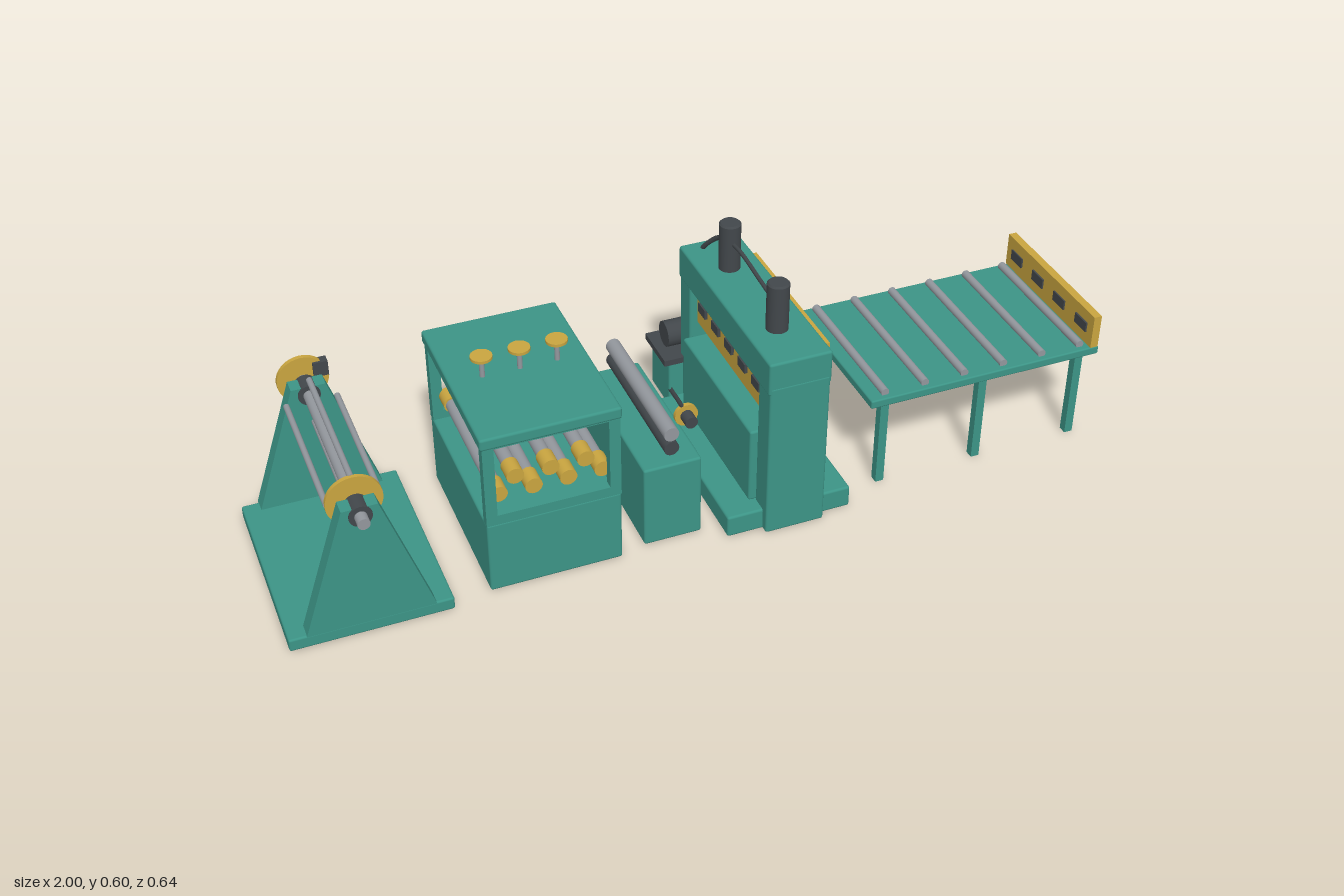
import * as THREE from 'three';
import { RoundedBoxGeometry } from 'three/addons/geometries/RoundedBoxGeometry.js';

const ZC = 0.047; // centre line of the whole production line

export function createModel() {
  const root = new THREE.Group();
  root.name = 'pressLine';
  const mat = (name, color) => {
    const m = new THREE.MeshStandardMaterial({ color });
    m.name = name;
    return m;
  };
  const green = mat('machineGreen', 0x3c9486);
  const yellow = mat('safetyYellow', 0xc9a540);
  const dark = mat('darkSteel', 0x42474b);
  const grey = mat('rollerGrey', 0x93979d);

  let group = root;
  const section = (name) => {
    group = new THREE.Group();
    group.name = name;
    root.add(group);
  };
  const add = (name, geo, m, x = 0, y = 0, z = 0) => {
    const mesh = new THREE.Mesh(geo, m);
    mesh.name = name;
    mesh.position.set(x, y, z);
    group.add(mesh);
    return mesh;
  };
  // Boxes are given by their limits on each axis; r rounds the edges.
  const box = (name, m, [x0, x1], [y0, y1], [z0, z1], r = 0) => {
    const s = [x1 - x0, y1 - y0, z1 - z0];
    const geo = r ? new RoundedBoxGeometry(...s, 2, r) : new THREE.BoxGeometry(...s);
    return add(name, geo, m, (x0 + x1) / 2, (y0 + y1) / 2, (z0 + z1) / 2);
  };
  const around = (half) => [ZC - half, ZC + half];
  const cylZ = (name, m, x, y, [z0, z1], r, sides = 24) =>
    add(name, new THREE.CylinderGeometry(r, r, z1 - z0, sides).rotateX(Math.PI / 2), m, x, y, (z0 + z1) / 2);
  const cylY = (name, m, x, [y0, y1], z, r) =>
    add(name, new THREE.CylinderGeometry(r, r, y1 - y0, 24), m, x, (y0 + y1) / 2, z);
  const cylX = (name, m, [x0, x1], y, z, r, sides = 24) =>
    add(name, new THREE.CylinderGeometry(r, r, x1 - x0, sides).rotateZ(Math.PI / 2), m, (x0 + x1) / 2, y, z);
  const tube = (name, points, r) => {
    const curve = new THREE.CatmullRomCurve3(points.map((p) => new THREE.Vector3(...p)));
    return add(name, new THREE.TubeGeometry(curve, 24, r, 8), dark);
  };
  const extrude = (points, depth, hole) => {
    const shape = new THREE.Shape(points.map((p) => new THREE.Vector2(...p)));
    if (hole) shape.holes.push(new THREE.Path(hole.map((p) => new THREE.Vector2(...p))));
    return new THREE.ExtrudeGeometry(shape, { depth, bevelEnabled: false });
  };

  // Uncoiler: base, two tapered stands and the mandrel between them
  section('uncoiler');
  const ux = -0.815, uy = 0.325;
  box('uncoilerBase', green, [-1, -0.63], [0, 0.032], around(0.243), 0.005);
  for (const z of [-0.203, 0.253]) {
    const stand = [[-0.96, 0.03], [-0.67, 0.03], [-0.775, 0.345], [-0.855, 0.345]];
    add('uncoilerStand', extrude(stand, 0.038), green, 0, 0, z);
    cylZ('bearing', dark, ux, uy, [z - 0.004, z + 0.042], 0.026);
  }
  cylZ('mandrelShaft', grey, ux, uy, [-0.225, 0.322], 0.014);
  for (let i = 0; i < 4; i++) {
    const a = (i * Math.PI) / 2;
    cylZ('mandrelRod', grey, ux + 0.058 * Math.cos(a), uy + 0.058 * Math.sin(a), [-0.14, 0.232], 0.007, 12);
  }
  cylZ('coilDisc', yellow, ux, uy, [0.23, 0.24], 0.063, 32);
  cylZ('brakeDisc', yellow, ux, uy, [-0.237, -0.226], 0.06, 32);
  box('brakeCaliper', dark, [-0.79, -0.755], [0.328, 0.366], [-0.243, -0.22]);

  // Straightener: cabinet, open frame, staggered rollers and handwheels
  section('straightener');
  box('straightenerCabinet', green, [-0.54, -0.227], [0, 0.187], around(0.218), 0.006);
  box('straightenerTop', green, [-0.545, -0.223], [0.395, 0.425], around(0.222), 0.006);
  const outer = [[-0.54, 0.185], [-0.227, 0.185], [-0.227, 0.397], [-0.54, 0.397]];
  const inner = [[-0.514, 0.21], [-0.514, 0.392], [-0.253, 0.392], [-0.253, 0.21]];
  for (const z of [-0.171, 0.241]) add('straightenerFrame', extrude(outer, 0.024, inner), green, 0, 0, z);
  const straightRoller = (x, y) => {
    cylZ('straighteningRoller', grey, x, y, around(0.185), 0.016);
    for (const s of [-1, 1]) {
      const z = ZC + s * 0.175;
      cylZ('rollerBearing', yellow, x, y, [z - 0.022, z + 0.022], 0.02);
    }
  };
  for (let i = 0; i < 4; i++) straightRoller(-0.502 + i * 0.08, 0.25);
  for (let i = 0; i < 3; i++) straightRoller(-0.463 + i * 0.081, 0.289);
  for (let i = 0; i < 3; i++) {
    const x = -0.468 + i * 0.087;
    cylY('handwheelStem', grey, x, [0.42, 0.476], ZC, 0.006);
    cylY('handwheel', yellow, x, [0.474, 0.481], ZC, 0.025);
  }

  // Roll feeder: cabinet, two rolls, release lever
  section('feeder');
  box('feederCabinet', green, [-0.167, -0.027], [0, 0.215], around(0.2), 0.006);
  cylZ('upperFeedRoll', grey, -0.095, 0.289, around(0.187), 0.018);
  cylZ('lowerFeedRoll', dark, -0.095, 0.25, around(0.187), 0.018);
  cylZ('releaseDisc', yellow, -0.038, 0.29, [0.171, 0.181], 0.028);
  cylZ('releaseHub', dark, -0.038, 0.29, [0.162, 0.212], 0.015);
  tube('releaseLever', [[-0.038, 0.295, 0.176], [-0.056, 0.333, 0.176], [-0.077, 0.374, 0.176]], 0.005);

  // Press frame: base, bed, two columns and crown
  section('press');
  box('pressBase', green, [0.02, 0.33], [0, 0.056], around(0.245), 0.006);
  for (const z of [[-0.216, -0.154], [0.248, 0.312]])
    box('pressColumn', green, [0.107, 0.253], [0, 0.41], z, 0.006);
  box('pressCrown', green, [0.104, 0.256], [0.39, 0.475], around(0.264), 0.006);
  box('pressBed', green, [0.09, 0.265], [0.054, 0.252], around(0.202), 0.006);

  // Sliding ram with dark panels on both faces
  box('ram', yellow, [0.125, 0.235], [0.295, 0.386], around(0.197));
  for (let i = 0; i < 5; i++) {
    const z = 0.204 - i * 0.078;
    for (const x of [0.1215, 0.2385])
      box('ramPanel', dark, [x - 0.004, x + 0.004], [0.34, 0.364], [z - 0.02, z + 0.02]);
  }

  // Barred guard in front of the ram
  for (const y of [0.302, 0.445])
    box('guardRail', yellow, [0.266, 0.278], [y - 0.005, y + 0.006], around(0.202));
  for (let i = 0; i < 6; i++) {
    const z = 0.218 - i * 0.0675;
    box('guardBar', yellow, [0.268, 0.276], [0.302, 0.445], [z - 0.004, z + 0.004]);
  }

  // Hydraulic cylinders and hoses
  for (const z of [0.182, -0.087]) {
    const r = 0.026, h = 0.124, e = 0.004;
    const profile = [[0, 0], [r, 0], [r, 0], [r, h - e], [r, h - e], [r - e, h], [r - e, h], [0, h]];
    add('hydraulicCylinder', new THREE.LatheGeometry(profile.map((p) => new THREE.Vector2(...p)), 24),
      dark, 0.178, 0.473, z);
  }
  tube('crossHose', [[0.178, 0.535, 0.165], [0.178, 0.543, 0.08], [0.178, 0.552, -0.02], [0.178, 0.548, -0.07]], 0.005);
  for (const [s, end] of [[-1, 0.155], [1, 0.245]]) {
    const x = 0.178 + s * 0.025;
    tube('supplyHose', [[0.178, 0.542, -0.105], [0.178 + s * 0.006, 0.525, -0.142], [x, 0.475, -0.188],
      [x, 0.4, -0.228], [(x + end) / 2, 0.32, -0.247], [end, 0.25, -0.238], [end, 0.195, -0.226]], 0.006);
    cylY('hoseFitting', grey, end, [0.166, 0.202], -0.225, 0.014);
  }

  // Hydraulic power unit behind the press
  section('powerUnit');
  box('oilTank', green, [0.07, 0.28], [0.023, 0.153], [-0.314, -0.196], 0.006);
  box('tankLid', dark, [0.056, 0.296], [0.152, 0.168], [-0.32, -0.19]);
  cylX('pumpMotor', dark, [0.08, 0.2], 0.202, -0.255, 0.033, 16);
  cylZ('levelGauge', grey, 0.268, 0.122, [-0.2, -0.189], 0.013);
  box('drainPlug', dark, [0.171, 0.179], [0.005, 0.013], [-0.259, -0.251]);

  // Outfeed table: top, legs, rollers and end stop
  section('outfeedTable');
  box('tableTop', green, [0.395, 1], [0.232, 0.254], around(0.202), 0.004);
  for (const x of [0.437, 0.695, 0.956])
    for (const s of [-1, 1]) {
      const z = ZC + s * 0.179;
      box('tableLeg', green, [x - 0.0105, x + 0.0105], [0, 0.235], [z - 0.0105, z + 0.0105]);
    }
  for (let i = 0; i < 6; i++)
    cylZ('tableRoller', grey, 0.436 + i * 0.1037, 0.261, around(0.188), 0.01);
  box('endStop', yellow, [0.976, 0.996], [0.254, 0.341], around(0.202));
  for (let i = 0; i < 4; i++) {
    const z = 0.199 - i * 0.101;
    for (const x of [0.975, 0.997])
      box('endStopPanel', dark, [x - 0.003, x + 0.003], [0.285, 0.311], [z - 0.025, z + 0.025]);
  }

  return root;
}
